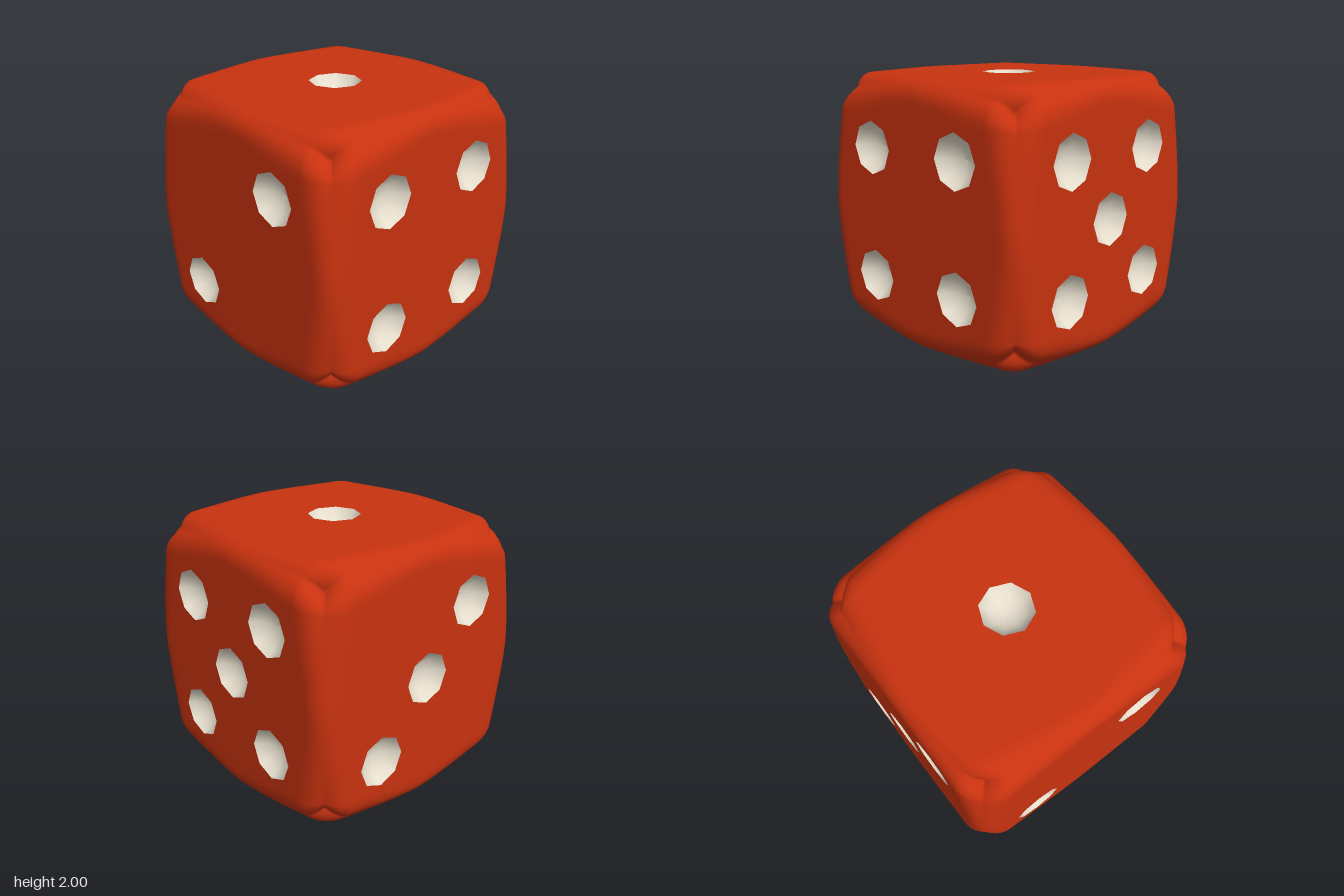
import * as THREE from 'three';
import { mergeGeometries, mergeVertices } from 'three/addons/utils/BufferGeometryUtils.js';

const FLAT = 0.72;       // half width of the flat middle of each face
const PIP_RADIUS = 0.2;
const PIP_DEPTH = 0.12;

// Pip positions in each face's own plane
const TL = [-0.445, 0.475], TR = [0.44, 0.48], BL = [-0.445, -0.51], BR = [0.44, -0.485];
const ML = [-0.445, -0.015], MR = [0.44, -0.005], C = [0, 0];

const FACES = [
  { name: 'front', rx: 0, ry: 0, pips: [TL, TR, BL, BR] },
  { name: 'left', rx: 0, ry: Math.PI / 2, pips: [TL, TR, C, BL, BR] },
  { name: 'back', rx: 0, ry: Math.PI, pips: [TR, C, BL] },
  { name: 'right', rx: 0, ry: -Math.PI / 2, pips: [TR, BL] },
  { name: 'top', rx: -Math.PI / 2, ry: 0, pips: [C] },
  { name: 'bottom', rx: Math.PI / 2, ry: 0, pips: [TL, TR, ML, MR, BL, BR] },
];

// Round a point of the cube; the radius grows from mid-edge to corner
function roundPoint(p) {
  const r = 0.14 + 0.31 * Math.pow(Math.abs(p.x * p.y * p.z), 1.5);
  const k = 1 - r;
  const inner = p.clone().clampScalar(-k, k);
  return p.clone().sub(inner).normalize().multiplyScalar(r).add(inner);
}

// Frame of one face around its flat middle, facing +z
function rimGeometry() {
  const steps = 8, mid = 12, coords = [];
  for (let i = 0; i < steps; i++) coords.push(-1 + (1 - FLAT) * i / steps);
  for (let i = 0; i <= mid; i++) coords.push(-FLAT + 2 * FLAT * i / mid);
  for (let i = 1; i <= steps; i++) coords.push(FLAT + (1 - FLAT) * i / steps);
  const n = coords.length, positions = [], index = [];
  for (const y of coords) {
    for (const x of coords) positions.push(...roundPoint(new THREE.Vector3(x, y, 1)).toArray());
  }
  const isMiddle = (i) => i >= steps && i < steps + mid;
  for (let j = 0; j < n - 1; j++) {
    for (let i = 0; i < n - 1; i++) {
      if (isMiddle(i) && isMiddle(j)) continue;
      const a = j * n + i, b = a + 1, c = a + n, d = c + 1;
      // split along the diagonal that points to the corner
      if ((i < n / 2) === (j < n / 2)) index.push(a, b, d, a, d, c);
      else index.push(a, b, c, b, d, c);
    }
  }
  const g = new THREE.BufferGeometry();
  g.setAttribute('position', new THREE.Float32BufferAttribute(positions, 3));
  g.setIndex(index);
  return g;
}

// Flat middle of a face with eight-sided holes for the pips
function plateGeometry(pips) {
  const shape = new THREE.Shape([[-1, -1], [1, -1], [1, 1], [-1, 1]]
    .map(([x, y]) => new THREE.Vector2(x * FLAT, y * FLAT)));
  for (const [x, y] of pips) {
    const ring = [];
    for (let i = 0; i < 8; i++) {
      const a = -i * Math.PI / 4;
      ring.push(new THREE.Vector2(x + PIP_RADIUS * Math.cos(a), y + PIP_RADIUS * Math.sin(a)));
    }
    shape.holes.push(new THREE.Path(ring));
  }
  return new THREE.ShapeGeometry(shape).translate(0, 0, 1);
}

// Hollow bowl opening towards +z, rim at z = 0
function bowlGeometry() {
  const R = (PIP_RADIUS ** 2 + PIP_DEPTH ** 2) / (2 * PIP_DEPTH);
  const rimAngle = Math.asin(PIP_RADIUS / R), points = [];
  for (let i = 0; i <= 5; i++) {
    const a = rimAngle * (1 - i / 5);
    points.push(new THREE.Vector2(R * Math.sin(a), R - PIP_DEPTH - R * Math.cos(a)));
  }
  return new THREE.LatheGeometry(points, 8).rotateX(Math.PI / 2);
}

export function createModel() {
  const red = new THREE.MeshStandardMaterial({ color: 0xc8320f });
  red.name = 'red';
  const ivory = new THREE.MeshStandardMaterial({ color: 0xe6decd, side: THREE.DoubleSide });
  ivory.name = 'ivory';

  const model = new THREE.Group();
  model.name = 'die';
  const rims = [];
  const bowl = bowlGeometry();

  for (const { name, rx, ry, pips } of FACES) {
    rims.push(rimGeometry().rotateX(rx).rotateY(ry));

    const face = new THREE.Group();
    face.name = name + 'Face';
    face.rotation.set(rx, ry, 0);
    face.position.y = 1;
    const plate = new THREE.Mesh(plateGeometry(pips), red);
    plate.name = name + 'Plate';
    face.add(plate);
    for (const [x, y] of pips) {
      const pip = new THREE.Mesh(bowl, ivory);
      pip.name = 'pip';
      pip.position.set(x, y, 1);
      face.add(pip);
    }
    model.add(face);
  }

  // Rounded edges and corners, welded for smooth shading
  const shell = mergeVertices(mergeGeometries(rims), 1e-4);
  shell.computeVertexNormals();
  const edges = new THREE.Mesh(shell, red);
  edges.name = 'roundedEdges';
  edges.position.y = 1;
  model.add(edges);
  return model;
}
